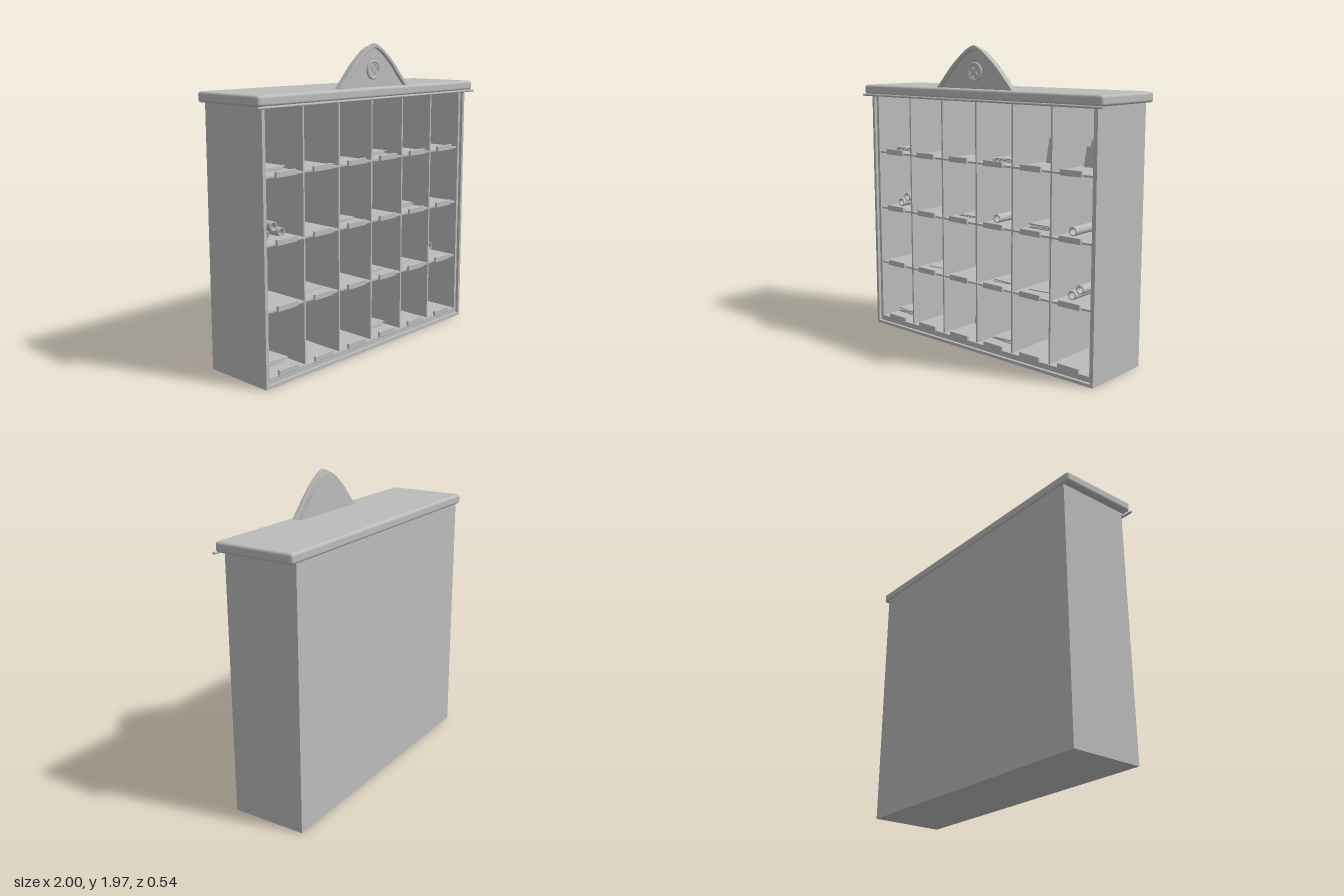
import * as THREE from 'three';
import { RoundedBoxGeometry } from 'three/addons/geometries/RoundedBoxGeometry.js';

const grey = new THREE.MeshStandardMaterial({ color: 0xbcbcbc });
grey.name = 'plain grey';

export function createModel() {
  const model = new THREE.Group();
  model.name = 'pigeonholeCabinet';

  const add = (name, geometry, x = 0, y = 0, z = 0, parent = model) => {
    const mesh = new THREE.Mesh(geometry, grey);
    mesh.name = name;
    mesh.position.set(x, y, z);
    parent.add(mesh);
    return mesh;
  };
  // box given by its limits on each axis
  const box = (name, x0, x1, y0, y1, z0, z1, parent) =>
    add(name, new THREE.BoxGeometry(x1 - x0, y1 - y0, z1 - z0),
      (x0 + x1) / 2, (y0 + y1) / 2, (z0 + z1) / 2, parent);
  const extrude = (shape, depth, bevel = 0) => new THREE.ExtrudeGeometry(shape, {
    depth, curveSegments: 24, bevelEnabled: bevel > 0,
    bevelSize: bevel, bevelThickness: bevel, bevelOffset: -bevel, bevelSegments: 2,
  });

  // Case
  box('backPanel', -0.925, 0.925, 0.01, 1.64, -0.26, -0.235);
  box('base', -0.925, 0.925, 0, 0.055, -0.26, 0.21);
  for (const s of [-1, 1]) {
    box('side', Math.min(s * 0.905, s * 0.945), Math.max(s * 0.905, s * 0.945), 0, 1.64, -0.26, 0.21);
    box('frontStile', Math.min(s * 0.925, s * 0.945), Math.max(s * 0.925, s * 0.945), 0, 1.64, 0.21, 0.23);
  }
  box('frontRail', -0.925, 0.925, 0, 0.02, 0.21, 0.23);

  // Compartments: six columns, four rows
  const floorY = (row) => 1.241 - row * 0.393;
  const columnX = (col) => -0.75 + col * 0.3;
  for (let i = 1; i < 6; i++) {
    const x = -0.9 + i * 0.3;
    box('divider', x - 0.006, x + 0.006, 0.055, 1.64, -0.235, 0.2);
  }
  for (let row = 0; row < 3; row++) {
    box('shelf', -0.905, 0.905, floorY(row) - 0.012, floorY(row), -0.235, 0.198);
  }
  for (let row = 0; row < 4; row++) {
    for (let col = 0; col < 6; col++) {
      add('labelHolder', new RoundedBoxGeometry(0.16, 0.038, 0.018, 1, 0.004),
        columnX(col), floorY(row) + 0.004, 0.207);
    }
  }

  // Roof and cornice
  add('roof', new RoundedBoxGeometry(1.986, 0.064, 0.53, 3, 0.018), 0, 1.668, -0.006);
  box('corniceStrip', -0.945, 0.945, 1.624, 1.64, 0.19, 0.255);
  const rod = add('corniceRod', new THREE.CylinderGeometry(0.008, 0.008, 2, 12), 0, 1.632, 0.262);
  rod.rotation.z = Math.PI / 2;

  // Pediment: arched panel with a raised trim
  const half = [[0.32, 1.699], [0.25, 1.775], [0.176, 1.852], [0.09, 1.922], [0.04, 1.953], [0, 1.967]];
  const outline = (inset) => {
    const right = half.map(([x, y], i) =>
      new THREE.Vector2(x * (1 - inset * 3.2), i === 0 ? y : y - inset * (0.3 + 0.7 * i / 5)));
    const left = right.slice(0, -1).reverse().map((p) => new THREE.Vector2(-p.x, p.y));
    return new THREE.SplineCurve([...right, ...left]).getPoints(40);
  };
  const pediment = new THREE.Group();
  pediment.name = 'pediment';
  model.add(pediment);
  add('pedimentPanel', extrude(new THREE.Shape(outline(0.016)), 0.04), 0, 0, 0.165, pediment);
  add('pedimentTrim', extrude(new THREE.Shape([...outline(0), ...outline(0.028).reverse()]), 0.018, 0.004),
    0, 0, 0.203, pediment);

  // Rosette with four round openings
  const disc = new THREE.Shape().absarc(0, 0, 0.046, 0, Math.PI * 2);
  for (let i = 0; i < 4; i++) {
    const a = i * Math.PI / 2;
    disc.holes.push(new THREE.Path().absarc(Math.cos(a) * 0.025, Math.sin(a) * 0.025, 0.015, 0, Math.PI * 2, true));
  }
  add('rosette', extrude(disc, 0.008), 0, 1.805, 0.204, pediment);
  add('rosetteRing', new THREE.TorusGeometry(0.052, 0.009, 10, 40), 0, 1.805, 0.208, pediment);

  // Leaning cards: row, left edge, right edge, height, back card left, right, height
  const cards = [
    [0, -0.54, -0.35, 0.165, -0.53, -0.338, 0.135],
    [0, -0.257, -0.062, 0.13, -0.26, -0.065, 0.163],
    [0, 0.35, 0.548, 0.16, 0.342, 0.54, 0.13],
    [0, 0.642, 0.832, 0.127, 0.65, 0.85, 0.16],
    [1, -0.565, -0.37, 0.13, -0.555, -0.362, 0.12],
    [2, -0.855, -0.652, 0.142, -0.845, -0.643, 0.138],
    [2, -0.24, -0.04, 0.157, -0.23, -0.046, 0.15],
    [3, -0.267, -0.07, 0.167, -0.24, -0.048, 0.155],
  ];
  const card = (x0, x1, y, h, z) => {
    const geometry = new THREE.BoxGeometry(x1 - x0, h, 0.008).translate(0, h / 2, 0);
    add('leaningCard', geometry, (x0 + x1) / 2, y, z).rotation.x = -0.22;
  };
  for (const [row, a0, a1, ah, b0, b1, bh] of cards) {
    card(a0, a1, floorY(row), ah, -0.07);
    card(b0, b1, floorY(row), bh, -0.1);
  }

  // Flat paper stacks: row, centre x, sheets
  const stacks = [
    [0, -0.758, 3], [0, 0.152, 3], [1, -0.145, 2], [1, 0.452, 4], [2, -0.437, 1],
    [2, 0.154, 2], [2, 0.45, 1], [3, -0.758, 4], [3, 0.15, 3],
  ];
  for (const [row, x, count] of stacks) {
    for (let i = 0; i < count; i++) {
      const sheet = add('paper', new THREE.BoxGeometry(0.2 - 0.01 * (i % 2), 0.006, 0.25),
        x + 0.008 * ((i % 3) - 1), floorY(row) + 0.006 + i * 0.008, -0.03);
      sheet.rotation.y = 0.08 * ((i + row) % 3 - 1);
    }
    box('paperTie', x + 0.01, x + 0.05, floorY(row) + count * 0.008,
      floorY(row) + count * 0.008 + 0.007, -0.05, -0.01);
  }

  // Rolled scrolls as hollow tubes: row, x, height above shelf
  const ring = new THREE.Shape().absarc(0, 0, 0.028, 0, Math.PI * 2);
  ring.holes.push(new THREE.Path().absarc(0, 0, 0.021, 0, Math.PI * 2, true));
  const tube = extrude(ring, 0.29);
  const scrolls = [
    [1, -0.813, 0.028], [1, -0.69, 0.028], [1, -0.752, 0.073], [1, 0.087, 0.028],
    [1, 0.689, 0.028], [2, 0.689, 0.028], [2, 0.748, 0.073],
  ];
  for (const [row, x, h] of scrolls) add('scroll', tube, x, floorY(row) + h, -0.19);

  return model;
}
